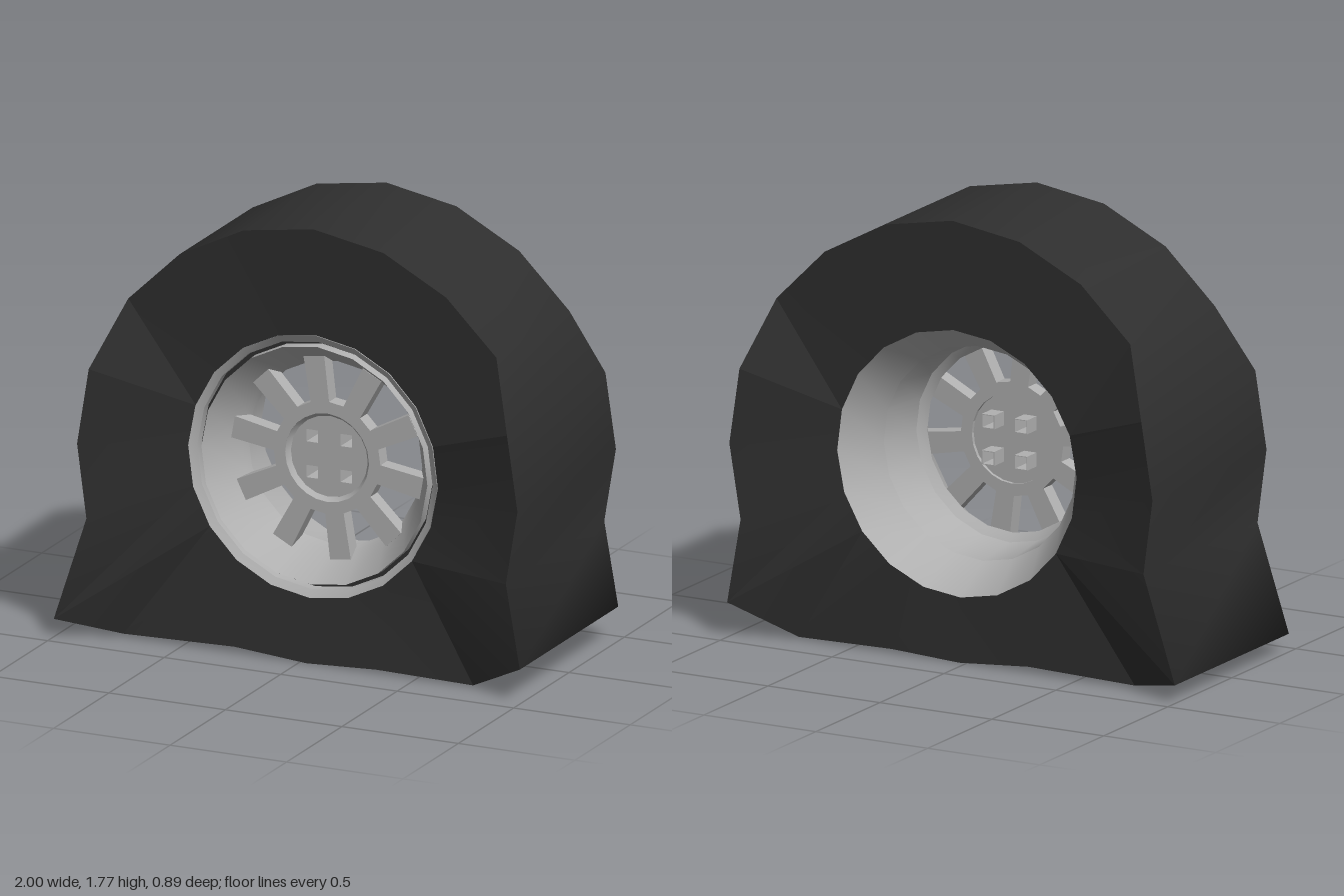
import * as THREE from 'three';
import { toCreasedNormals } from 'three/addons/utils/BufferGeometryUtils.js';

const SIDES = 20, TILT = -0.03, HOLE = 0.535, CX = 0.045, CY = 0.794;

// Sagging tyre outline, clockwise from the top: x, y, half width
const OUTLINE = [
  [0.06, 1.77, 0.33], [0.36, 1.715, 0.33], [0.63, 1.57, 0.33], [0.845, 1.355, 0.33],
  [0.945, 1.085, 0.445], [0.99, 0.78, 0.445], [0.94, 0.48, 0.445], [1, 0.14, 0.445],
  [0.745, 0.008, 0.33], [0.33, 0.015, 0.33], [0.03, 0, 0.33], [-0.28, 0.025, 0.33],
  [-0.755, 0.013, 0.33], [-1, 0.073, 0.445], [-0.86, 0.5, 0.445], [-0.9, 0.8, 0.445],
  [-0.85, 1.11, 0.445], [-0.735, 1.38, 0.33], [-0.515, 1.59, 0.33], [-0.24, 1.725, 0.33],
];

// Skin two closed rings, splitting each quad along its flatter diagonal
function loft(from, to, crease) {
  const n = from.length, index = [];
  for (let i = 0; i < n; i++) {
    const j = (i + 1) % n;
    const rise = (p, q) => Math.abs(p[2] - q[2]);
    if (rise(from[j], to[i]) < rise(from[i], to[j])) index.push(i, i + n, j, j, i + n, j + n);
    else index.push(i, i + n, j + n, i, j + n, j);
  }
  const geo = new THREE.BufferGeometry();
  geo.setAttribute('position', new THREE.Float32BufferAttribute([from, to].flat(2), 3));
  geo.setIndex(index);
  geo.computeVertexNormals();
  return toCreasedNormals(geo, crease);
}

// Tyre ring at the wheel hole, in step with the outline
function holeRing(z) {
  return OUTLINE.map((_, i) => {
    const a = Math.PI / 2 + TILT - (i * Math.PI * 2) / SIDES;
    return [CX + HOLE * Math.cos(a), CY + HOLE * Math.sin(a), z];
  });
}

function edgeRing(side) {
  return OUTLINE.map(([x, y, w]) => [x, y, side * w]);
}

function extrude(shape, back, front) {
  const geo = new THREE.ExtrudeGeometry(shape, {
    depth: front - back, bevelEnabled: false, curveSegments: 12,
  });
  return geo.translate(0, 0, back);
}

// Turn a radius/depth profile around the wheel axis
function turned(profile) {
  const points = profile.map(([r, z]) => new THREE.Vector2(r, z));
  const geo = new THREE.LatheGeometry(points, SIDES);
  return toCreasedNormals(geo.rotateX(Math.PI / 2).rotateZ(TILT), 0.35);
}

function square(Type, x, y, h) {
  return new Type([[-h, -h], [h, -h], [h, h], [-h, h]]
    .map(([dx, dy]) => new THREE.Vector2(x + dx, y + dy)));
}

// Hub ring with ten straight spokes as one outline
function spokeShape() {
  const points = [], root = 0.225, tip = 0.41, count = 10;
  for (let k = 0; k < count; k++) {
    const a = THREE.MathUtils.degToRad(98 + k * 36);
    const add = (r, w) => points.push(new THREE.Vector2(
      r * Math.cos(a) - w * Math.sin(a), r * Math.sin(a) + w * Math.cos(a)));
    add(root, -0.04);
    add(tip, -0.045);
    add(tip, 0.045);
    add(root, 0.04);
  }
  const shape = new THREE.Shape(points);
  shape.holes.push(new THREE.Path().absarc(0, 0, 0.18, 0, Math.PI * 2, true));
  return shape;
}

export function createModel() {
  const model = new THREE.Group();
  const rubber = new THREE.MeshStandardMaterial({ color: 0x2f2f2f });
  const metal = new THREE.MeshStandardMaterial({ color: 0xb0b0b0, side: THREE.DoubleSide });

  const add = (parent, name, geo, mat) => {
    const mesh = new THREE.Mesh(geo, mat);
    mesh.name = name;
    parent.add(mesh);
  };

  // Tyre: smooth tread, lightly creased sidewalls
  add(model, 'tread', loft(edgeRing(-1), edgeRing(1), Math.PI), rubber);
  add(model, 'frontSidewall', loft(edgeRing(1), holeRing(0.3), 0.2), rubber);
  add(model, 'backSidewall', loft(holeRing(-0.32), edgeRing(-1), 0.2), rubber);

  const wheel = new THREE.Group();
  wheel.name = 'wheel';
  wheel.position.set(CX, CY, 0);
  model.add(wheel);

  // Rim: back dish, barrel, front dish, groove and sloped lip
  add(wheel, 'rim', turned([
    [HOLE, -0.32], [0.43, -0.14], [0.405, 0.07], [0.373, 0.1], [0.39, 0.13],
    [0.485, 0.29], [0.487, 0.24], [0.505, 0.24], [0.505, 0.285], [HOLE, 0.305],
  ]), metal);
  add(wheel, 'rimGroove', turned([[0.505, 0.245], [0.486, 0.245]]), rubber);

  add(wheel, 'spokes', extrude(spokeShape(), 0.11, 0.175), metal);

  // Sloped edge down to the hub plate
  add(wheel, 'hubRing', turned([[0.18, 0.175], [0.165, 0.155]]), metal);

  // Hub plate with four square bolt holes, each continued as a sleeve behind
  const plate = new THREE.Shape().absarc(0, 0, 0.18, 0, Math.PI * 2, false);
  for (const x of [-0.073, 0.073]) {
    for (const y of [-0.073, 0.073]) {
      plate.holes.push(square(THREE.Path, x, y, 0.025));
      const sleeve = square(THREE.Shape, x, y, 0.028);
      sleeve.holes.push(square(THREE.Path, x, y, 0.025));
      add(wheel, 'boltSleeve', extrude(sleeve, 0.05, 0.13), metal);
    }
  }
  add(wheel, 'hubPlate', extrude(plate, 0.125, 0.155), metal);

  return model;
}
